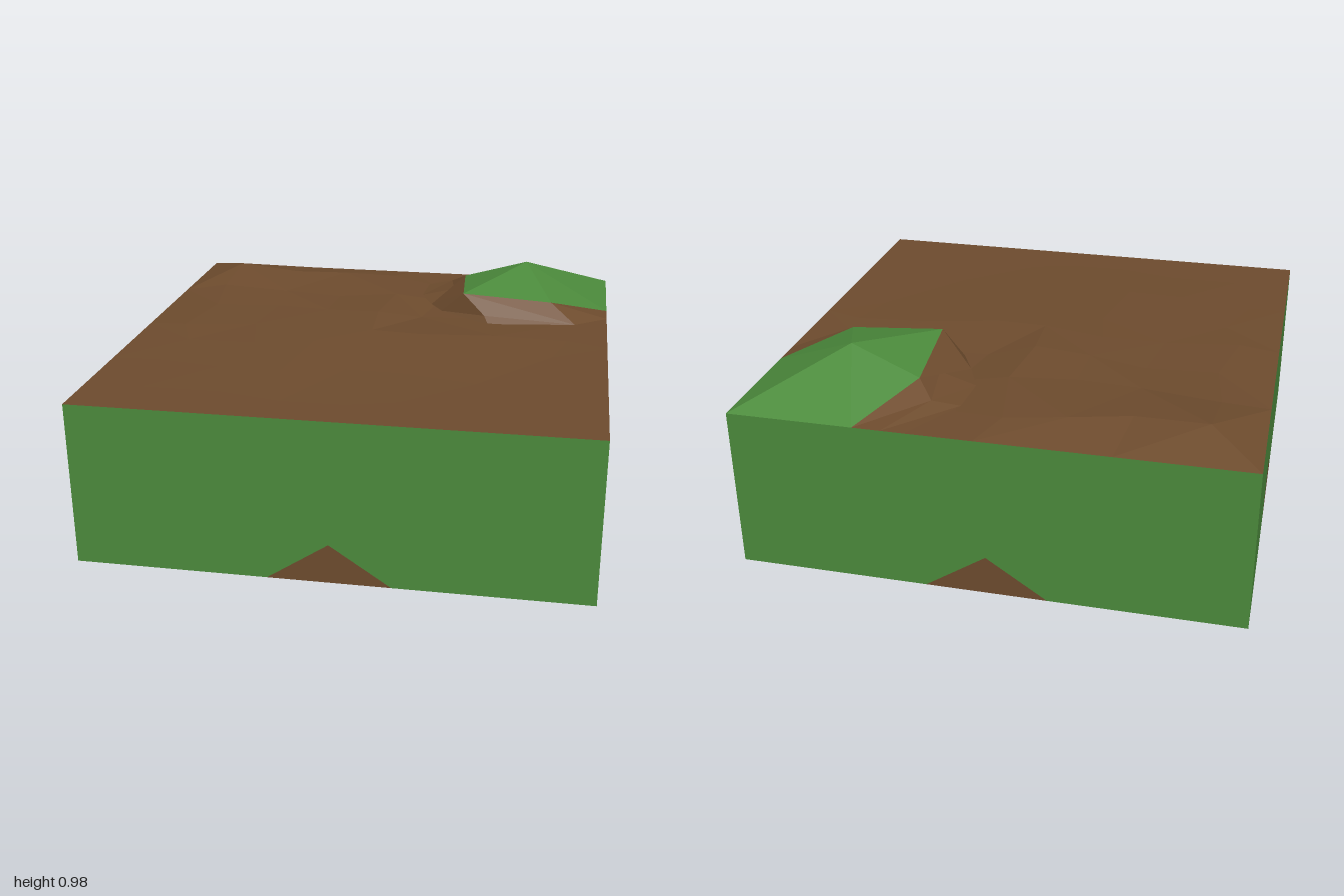
import * as THREE from 'three';

const TOP = 0.81, BOTTOM = 0.15;
const material = (color) => new THREE.MeshStandardMaterial({ color, flatShading: true, side: THREE.DoubleSide });
const grass = material(0x4c8b3c);
const earth = material(0x6e4c2e);

function makeMesh(name, triangles, mat) {
  const geo = new THREE.BufferGeometry().setFromPoints(triangles);
  geo.computeVertexNormals();
  const mesh = new THREE.Mesh(geo, mat);
  mesh.name = name;
  return mesh;
}

// Height at (x, z): the tallest of a set of cones [x, z, height, radius]
const cones = (list, x, z) => list.reduce((best, [cx, cz, h, r]) =>
  Math.max(best, h * (1 - Math.hypot(x - cx, z - cz) / r)), 0);

// Jittered sheet on the given grid lines; the square border stays at the base height
function sheet(xs, zs, base, rise, jitter) {
  return xs.map((x, i) => zs.map((z, j) => {
    const edgeX = Math.abs(x) === 1, edgeZ = Math.abs(z) === 1;
    const dx = edgeX ? 0 : jitter * Math.sin(i * 12.9 + j * 78.2);
    const dz = edgeZ ? 0 : jitter * Math.sin(i * 39.3 + j * 11.1);
    return new THREE.Vector3(x + dx, base + (edgeX || edgeZ ? 0 : rise(i, j, x, z)), z + dz);
  }));
}

// Triangles of the cells that pass the test
function cells(rows, up, test = () => true) {
  const out = [];
  for (let i = 0; i < rows.length - 1; i++) for (let j = 0; j < rows[0].length - 1; j++) {
    if (!test(i, j)) continue;
    const a = rows[i][j], b = rows[i + 1][j], c = rows[i + 1][j + 1], d = rows[i][j + 1];
    const t = (i + j) % 2 ? [a, d, b, b, d, c] : [a, d, c, a, c, b];
    if (!up) t.reverse();
    out.push(...t);
  }
  return out;
}

export function createModel() {
  const model = new THREE.Group();

  // Four flat sides, each with an earth triangle at the foot
  const wall = new THREE.Shape([[-1, BOTTOM], [-0.24, BOTTOM], [0, 0.31], [0.24, BOTTOM], [1, BOTTOM], [1, TOP], [-1, TOP]]
    .map(([x, y]) => new THREE.Vector2(x, y)));
  const patch = new THREE.Shape([[-0.24, BOTTOM], [0.24, BOTTOM], [0, 0.31]]
    .map(([x, y]) => new THREE.Vector2(x, y)));
  ['front', 'left', 'back', 'right'].forEach((side, k) => {
    const group = new THREE.Group();
    group.name = side + 'Side';
    [[wall, grass, 'Wall'], [patch, earth, 'EarthPatch']].forEach(([shape, mat, part]) => {
      const mesh = new THREE.Mesh(new THREE.ShapeGeometry(shape), mat);
      mesh.name = side + part;
      mesh.position.z = 1;
      group.add(mesh);
    });
    group.rotation.y = k * Math.PI / 2;
    model.add(group);
  });

  // Nearly flat ground with a low ridge along the back
  const ridge = [[-0.8, -0.8, 0.063, 0.5], [-0.5, -0.75, 0.05, 0.5], [-0.25, -0.75, 0.04, 0.5],
    [0, -0.6, 0.034, 0.6], [0, -0.25, 0.033, 0.9], [-0.8, -0.2, 0.015, 0.6], [-0.2, 0, 0.02, 0.8]];
  const lines = [-1, -0.8, -0.5, -0.25, 0, 0.2, 0.5, 0.8, 1];
  const ground = sheet(lines, lines, TOP,
    (i, j, x, z) => (x > 0.15 && z < -0.1 ? 0 : cones(ridge, x, z)), 0.04);
  model.add(makeMesh('ground', cells(ground, true), earth));

  // Underside: broad lumps, with a hollow in one back corner (depths by x row, z column)
  const depth = [
    [0, 0, 0.05, 0.085, 0.085, 0.05, 0.003],
    [0, 0, 0.1, 0.148, 0.148, 0.06, 0.005],
    [0.04, 0.115, 0.115, 0.125, 0.125, 0.055, 0.005],
    [0.02, 0.04, 0.05, 0.08, 0.078, 0.05, 0.005],
    [0.01, 0.015, 0.035, 0.08, 0.12, 0.055, 0.005],
    [0, 0.002, 0.004, 0.008, 0.01, 0.006, 0.002],
  ];
  const under = sheet([-1, -0.87, -0.52, -0.37, 0, 0.43, 0.93, 1], [-1, -0.75, -0.49, -0.33, 0, 0.53, 0.73, 0.93, 1],
    BOTTOM, (i, j) => -depth[i - 1][j - 1], 0.02);
  const inHollow = (i, j) => i < 3 && j < 3;
  model.add(makeMesh('underside', cells(under, false, (i, j) => !inHollow(i, j)), grass));
  model.add(makeMesh('undersideHollow', cells(under, false, inHollow), earth));

  // Faceted corner hill: grass cap over an earth skirt
  const V = (p) => new THREE.Vector3(...p);
  const peak = V([0.62, 0.985, -0.65]);
  const rim = [[0.5, TOP, -1], [0.33, 0.89, -0.7], [0.36, 0.92, -0.3], [0.75, 0.895, -0.31], [1, TOP, -0.5]].map(V);
  const foot = [[0.39, TOP, -1], [0.26, 0.84, -0.78], [0.29, 0.86, -0.57], [0.2, 0.82, -0.44],
    [0.26, 0.825, -0.33], [0.46, 0.84, -0.24], [0.86, 0.82, -0.24], [1, TOP, -0.38]].map(V);
  const cap = [], skirt = [];
  const ring = [...rim, V([1, TOP, -1])];
  ring.forEach((p, k) => cap.push(peak, p, ring[(k + 1) % ring.length]));
  const rimOf = [0, 1, 1, 2, 2, 2, 3, 4];
  for (let k = 0; k < 7; k++) {
    const a = rim[rimOf[k]], b = rim[rimOf[k + 1]];
    skirt.push(a, foot[k], foot[k + 1]);
    if (a !== b) skirt.push(a, foot[k + 1], b);
  }
  // Short bank joining the raised feet to the ground
  const bank = [[0.3, TOP, -1], [0.15, 0.82, -0.76], [0.14, 0.82, -0.58], [0.48, TOP, -0.21]].map(V);
  skirt.push(foot[0], bank[0], bank[1], foot[0], bank[1], foot[1], foot[1], bank[1], bank[2],
    foot[1], bank[2], foot[2], foot[2], bank[2], foot[3],
    foot[4], bank[3], foot[5], foot[5], bank[3], foot[6]);
  model.add(makeMesh('hillCap', cap, grass));
  model.add(makeMesh('hillSkirt', skirt, earth));

  return model;
}
